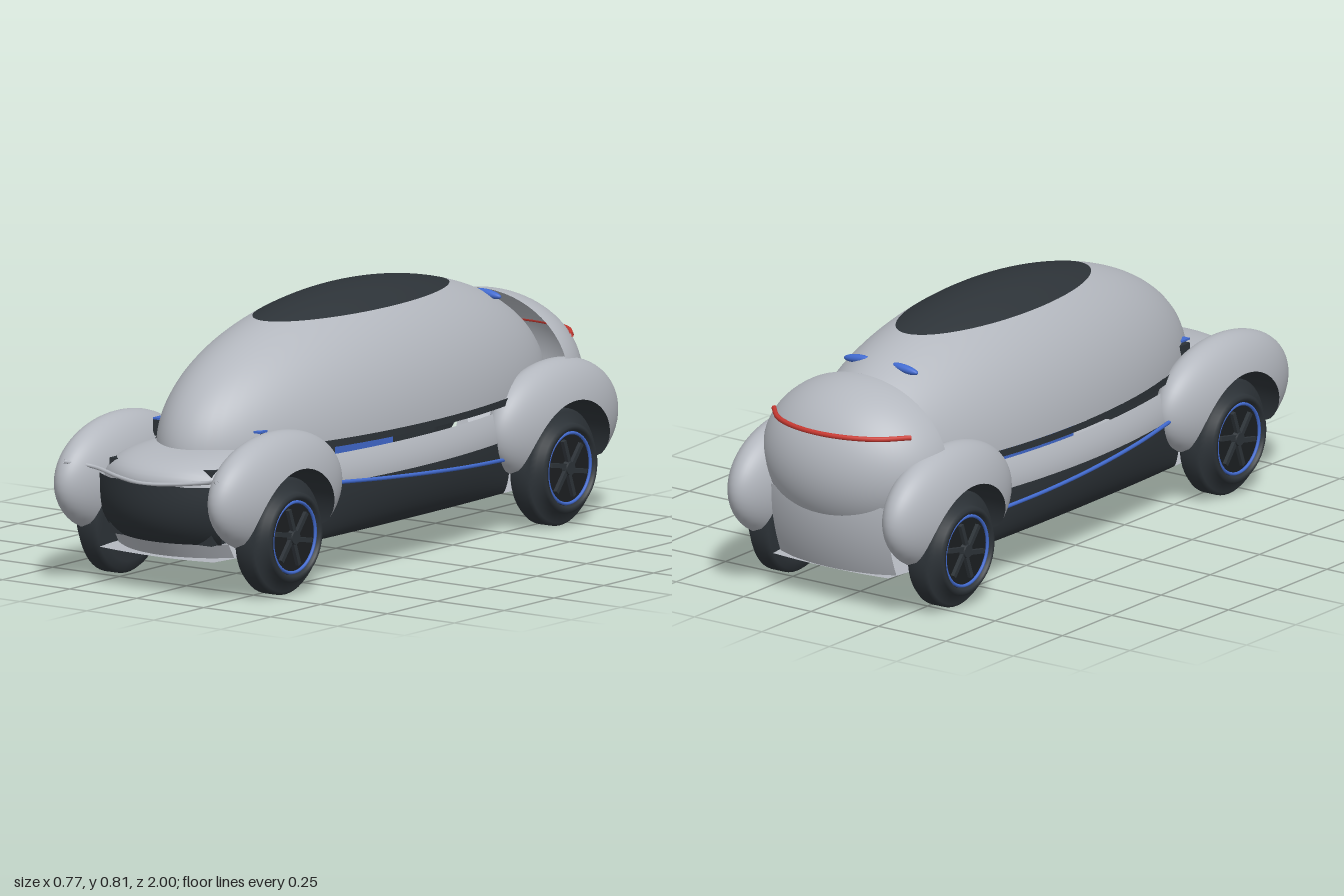
import * as THREE from 'three';
import { ParametricGeometry } from 'three/addons/geometries/ParametricGeometry.js';

const flat = (name, color, side = THREE.DoubleSide) => {
  const m = new THREE.MeshStandardMaterial({ color, side });
  m.name = name;
  return m;
};

export function createModel() {
  const silver = flat('silver paint', 0xb3b7be);
  const dark = flat('dark trim', 0x2d3338);
  const black = flat('black rim', 0x1c1f22);
  const blue = flat('blue accent', 0x426bd0);
  const red = flat('red lamp', 0xc93a32);

  const car = new THREE.Group();
  car.name = 'car';
  const add = (name, geo, mat, parent = car) => {
    const m = new THREE.Mesh(geo, mat);
    m.name = name;
    parent.add(m);
    return m;
  };
  // surface from a rule f(u, v) -> [x, y, z]
  const surface = (nu, nv, f) =>
    new ParametricGeometry((u, v, p) => p.set(...f(u, v)), nu, nv);
  const tube = (pts, r) => new THREE.TubeGeometry(
    new THREE.CatmullRomCurve3(pts.map(p => new THREE.Vector3(...p))), 40, r, 8);
  const box = (w, h, d, x, y, z) => new THREE.BoxGeometry(w, h, d).translate(x, y, z);

  // Canopy: upper half of an ellipsoid, split into shell and dark roof
  const roofCut = 0.53, cz = -0.075;
  const dome = (from, to) => new THREE.SphereGeometry(1, 72, 28, 0, Math.PI * 2, from, to - from)
    .scale(0.33, 0.405, 0.872).translate(0, 0.4, cz);
  add('canopyShell', dome(roofCut, Math.PI / 2 - 0.05), silver);
  add('roofWindow', dome(0, roofCut), dark);
  add('canopyRim', new THREE.CylinderGeometry(1, 1, 0.022, 72, 1, true)
    .scale(0.334, 1, 0.874).translate(0, 0.411, cz), dark);

  // Belly pan
  const bellyHalf = z => 0.25 - 0.055 * z ** 4;
  add('belly', surface(12, 24, (u, v) => {
    const z = -0.9 + 1.8 * v, s = 2 * u - 1;
    return [s * bellyHalf(z), 0.112 + 0.006 * s * s, z];
  }), silver);

  // Sills, side rails and blue side lines
  const sillHalf = z => 0.328 - 0.2 * (z + 0.02) ** 2;
  for (const s of [1, -1]) {
    const side = s > 0 ? 'left' : 'right';
    add(side + 'Sill', surface(10, 24, (u, v) => {
      const z = -0.5 + 1.0 * v, b = bellyHalf(z), t = u * Math.PI / 2;
      return [s * (b + (sillHalf(z) - b) * Math.sin(t)), 0.29 - 0.172 * Math.cos(t), z];
    }), dark);
    add(side + 'Rail', surface(6, 24, (u, v) => {
      const z = -0.47 + 0.94 * v;
      return [s * (sillHalf(z) - 0.025 * u * u), 0.29 + 0.085 * u, z];
    }), silver);
    add(side + 'SideLine', tube([0.43, 0.2, -0.05, -0.25, -0.46].map(z =>
      [s * (sillHalf(z) + 0.012 * (1 + z)), 0.268 + 0.073 * z, z]), 0.006), blue);
    // Small bracket beside the nose, fin on the rear of the canopy
    add(side + 'Bracket', box(0.022, 0.05, 0.05, s * 0.2, 0.442, 0.61), dark);
    add(side + 'BracketCap', box(0.024, 0.006, 0.04, s * 0.187, 0.473, 0.63), blue);
    add(side + 'Fin', new THREE.SphereGeometry(1, 16, 10).scale(0.05, 0.013, 0.014)
      .rotateZ(-s * 0.12).translate(s * 0.088, 0.688, -0.645), blue);
  }

  // Cabin seats
  for (const s of [1, -1]) {
    add('seatBack', box(0.18, 0.3, 0.05, s * 0.12, 0.33, 0.02), blue);
    add('seatCushion', box(0.18, 0.06, 0.24, s * 0.12, 0.2, 0.15), blue);
  }

  // Nose: hood, bumper, lower panel, light bar
  const noseZ = x => 0.965 - 0.075 * (x / 0.2) ** 2;
  add('hood', surface(20, 14, (u, v) => {
    const x = (2 * u - 1) * 0.21, z = 0.62 + (noseZ(x) - 0.62) * Math.sin(v * Math.PI / 2);
    return [x, 0.43 - 0.085 * v ** 2.5 - 0.02 * (x / 0.2) ** 4, z];
  }), silver);
  add('bumper', surface(24, 12, (u, v) => {
    const x = (2 * u - 1) * 0.225 * (1 - 0.12 * v ** 4);
    return [x, 0.345 - 0.185 * v, noseZ(x) + 0.02 - 0.07 * v ** 3];
  }), dark);
  add('lowerNosePanel', surface(20, 4, (u, v) => {
    const x = (2 * u - 1) * 0.215;
    return [x, 0.162 - 0.047 * v, noseZ(x) - 0.05 - 0.03 * v];
  }), silver);
  add('noseCore', box(0.38, 0.23, 0.22, 0, 0.275, 0.77), dark);
  add('frontLightBar', tube([[-0.285, 0.382, 0.982], [-0.22, 0.366, 0.925], [-0.1, 0.351, 0.952],
    [0, 0.346, 0.972], [0.1, 0.351, 0.952], [0.22, 0.366, 0.925], [0.285, 0.382, 0.982]], 0.006), silver);

  // Tail: hooded rear shell, apron below it, red lamp
  add('tailShell', surface(40, 36, (u, v) => {
    const e = Math.PI / 2 - v * 2.45;
    const spread = Math.PI / 2 - 0.8 * Math.min(1, Math.max(0, -e / 0.35));
    const a = (2 * u - 1) * spread;
    return [0.32 * Math.cos(e) * Math.sin(a), 0.43 + 0.25 * Math.sin(e),
      -0.74 - 0.252 * Math.cos(e) * Math.cos(a)];
  }), silver);
  add('tailApron', surface(20, 8, (u, v) => {
    const s = 2 * u - 1;
    return [s * 0.215, 0.34 - 0.225 * v, -0.955 + 0.045 * s * s + 0.05 * v * v];
  }), silver);
  const lamp = [];
  for (let i = -4; i <= 4; i++) {
    const x = i * 0.0635;
    lamp.push([x, 0.552, -0.74 - 0.252 * Math.sqrt(1 - 0.23 - (x / 0.32) ** 2) - 0.006]);
  }
  add('tailLamp', tube(lamp, 0.008), red);

  // Fender: an ellipsoid with the wheel opening taken out, swept round the axle
  function fender(name, x0, wheelZ, cy, czF, ry, rz) {
    const axleY = 0.18, rin = 0.208, W = 0.104, oz = czF - wheelZ, oy = cy - axleY;
    const outer = a => {
      const c = Math.cos(a) / rz, s = Math.sin(a) / ry, p = oz / rz, q = oy / ry;
      const A = c * c + s * s, B = c * p + s * q, C = p * p + q * q - 1;
      return (B + Math.sqrt(Math.max(0, B * B - A * C))) / A;
    };
    let a0 = Math.PI / 2, a1 = a0;
    while (outer(a0) > rin + 0.002 && a0 > -1) a0 -= 0.01;
    while (outer(a1) > rin + 0.002 && a1 < 4.1) a1 += 0.01;
    const half = (a, r) => W * Math.sqrt(Math.max(0,
      1 - ((r * Math.cos(a) - oz) / rz) ** 2 - ((r * Math.sin(a) - oy) / ry) ** 2));
    const place = (a, r, x) => [x0 + x, axleY + r * Math.sin(a), wheelZ + r * Math.cos(a)];
    const g = new THREE.Group();
    g.name = name;
    car.add(g);
    add('fenderShell', surface(32, 48, (u, v) => {
      const a = a0 + (a1 - a0) * v, t = Math.PI * u;
      const r = rin + Math.max(0, outer(a) - rin) * Math.sin(t);
      return place(a, r, Math.sign(Math.cos(t)) * half(a, r));
    }), silver, g);
    add('fenderLiner', surface(2, 48, (u, v) => {
      const a = a0 + (a1 - a0) * v;
      return place(a, rin, (2 * u - 1) * half(a, rin));
    }), dark, g);
  }

  // Wheel: stepped tyre, sunken rim, blue ring, swept spokes; axle along x
  const tyreProfile = [[0, -0.055], [0.14, -0.055], [0.168, -0.05], [0.178, -0.036], [0.178, 0.01],
    [0.168, 0.02], [0.139, 0.023], [0.136, 0.048], [0.128, 0.055], [0.117, 0.054], [0.113, 0.035]]
    .map(p => new THREE.Vector2(...p));
  function wheel(name, x, z) {
    const g = new THREE.Group();
    g.name = name;
    add('tyre', new THREE.LatheGeometry(tyreProfile, 48).rotateZ(-Math.PI / 2), dark, g);
    add('rim', new THREE.CylinderGeometry(0.114, 0.114, 0.01, 40).rotateZ(-Math.PI / 2)
      .translate(0.03, 0, 0), black, g);
    add('rimRing', new THREE.TorusGeometry(0.107, 0.005, 8, 48).rotateY(Math.PI / 2)
      .translate(0.044, 0, 0), blue, g);
    add('hub', new THREE.CylinderGeometry(0.02, 0.024, 0.02, 20).rotateZ(-Math.PI / 2)
      .translate(0.043, 0, 0), dark, g);
    for (let i = 0; i < 6; i++) {
      add('spoke', box(0.012, 0.075, 0.014, 0, 0.036, 0).rotateX(0.35)
        .translate(0.042, 0.018, 0).rotateX(i * Math.PI / 3), dark, g);
    }
    g.position.set(x, 0.178, z);
    if (x < 0) g.rotation.y = Math.PI;
    car.add(g);
  }

  for (const s of [1, -1]) {
    const side = s > 0 ? 'Left' : 'Right';
    fender('front' + side + 'Fender', s * 0.287, 0.685, 0.31, 0.692, 0.185, 0.308);
    fender('rear' + side + 'Fender', s * 0.287, -0.695, 0.315, -0.703, 0.19, 0.297);
    wheel('front' + side + 'Wheel', s * 0.309, 0.685);
    wheel('rear' + side + 'Wheel', s * 0.309, -0.695);
  }
  return car;
}
